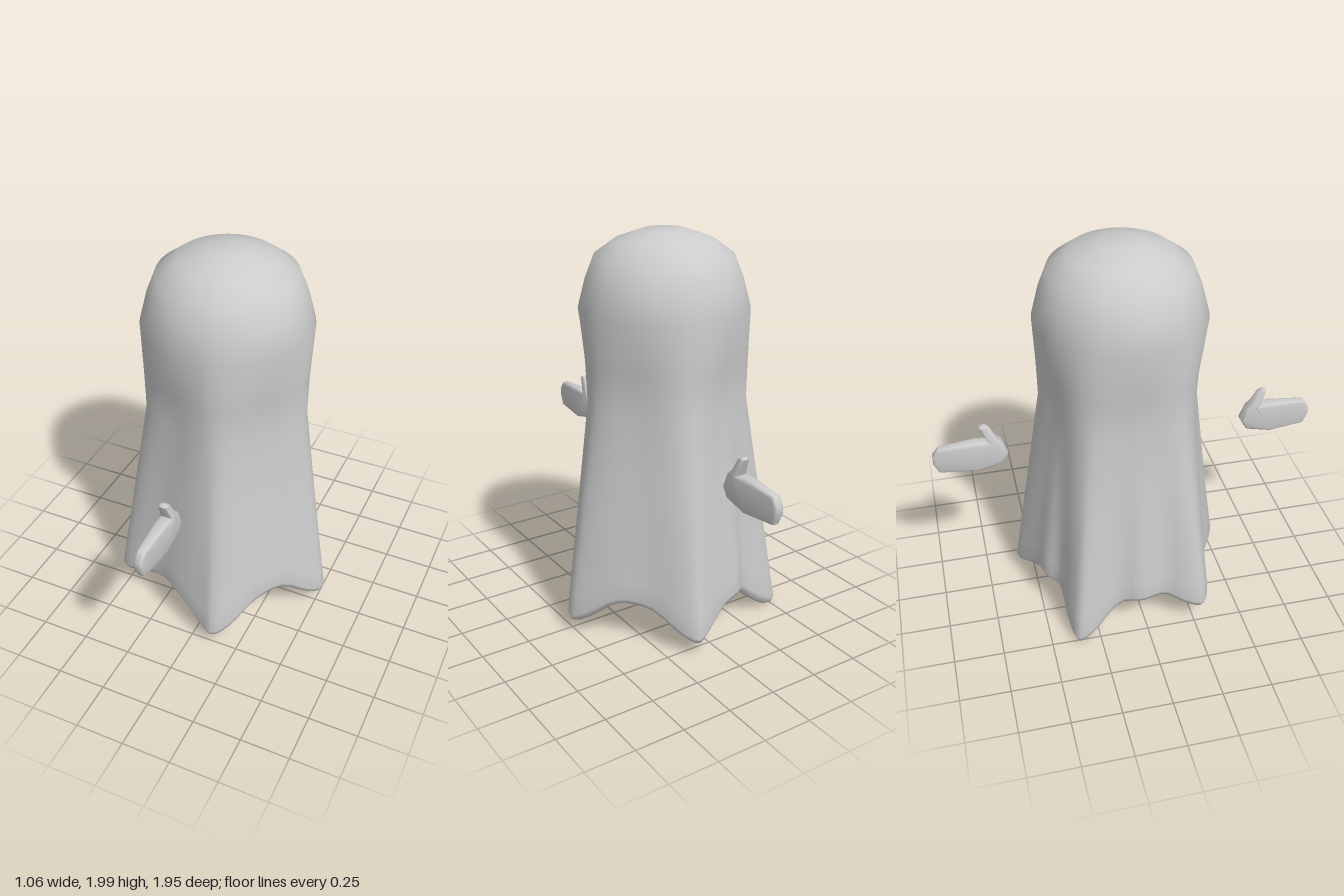
import * as THREE from 'three';
import { toCreasedNormals } from 'three/addons/utils/BufferGeometryUtils.js';

const CX = -0.035, CZ = -0.035; // axis of the draped body
const SIDES = 80;

// Hem outline as [x, z, y]: five hanging points with raised scallops between them
const HEM = [
  [0.53, -0.03, 0.07], [0.49, 0.05, 0.1], [0.38, 0.19, 0.22], [0.29, 0.32, 0.21],
  [0.2, 0.46, 0.11], [0.12, 0.52, 0.06], [0.05, 0.5, 0.08], [-0.13, 0.43, 0.19],
  [-0.27, 0.36, 0.2], [-0.45, 0.33, 0.14], [-0.52, 0.29, 0.12], [-0.51, 0.21, 0.14],
  [-0.47, 0.1, 0.19], [-0.51, -0.03, 0.21], [-0.47, -0.14, 0.18], [-0.52, -0.29, 0.06],
  [-0.52, -0.37, 0.01], [-0.43, -0.4, 0.05], [-0.27, -0.42, 0.17], [-0.2, -0.48, 0.2],
  [-0.09, -0.51, 0.18], [0.05, -0.57, 0.11], [0.12, -0.59, 0.08], [0.18, -0.53, 0.11],
  [0.27, -0.38, 0.21], [0.38, -0.25, 0.22], [0.49, -0.11, 0.11],
];

// Sheet lofted from the curled hem, through the folded waist, to the round head
function makeSheet() {
  const curve = new THREE.CatmullRomCurve3(
    HEM.map(([x, z, y]) => new THREE.Vector3(x, y, z)), true, 'centripetal');
  const hem = Array.from({ length: SIDES }, (_, j) => curve.getPoint(j / SIDES));
  const waistY = 1.18;
  const rings = [];
  const addRing = (fn) => rings.push(hem.map((p) => {
    const dx = p.x - CX, dz = p.z - CZ, r = Math.hypot(dx, dz);
    const a = Math.atan2(dz, dx);
    const waistR = 0.385 + 0.022 * Math.cos(5 * a);
    const [radius, y] = fn(r, p.y, waistR);
    return [CX + Math.cos(a) * radius, y, CZ + Math.sin(a) * radius];
  }));

  // hem lip, curled slightly inward
  addRing((r, y) => [r - 0.035, y]);
  addRing((r, y) => [r - 0.012, y + 0.008]);
  addRing((r, y) => [r, y + 0.035]);
  // skirt, from hem to waist
  for (const t of [0.1, 0.35, 0.65, 1]) {
    addRing((r, y, w) => [
      THREE.MathUtils.lerp(r, w, t), THREE.MathUtils.lerp(y + 0.035, waistY, t)]);
  }
  // shoulders, where the folds fade out
  addRing((r, y, w) => [THREE.MathUtils.lerp(w, 0.415, 0.3), 1.38]);
  // head
  for (const [radius, y] of [[0.415, 1.63], [0.38, 1.765], [0.335, 1.88],
    [0.24, 1.95], [0.11, 1.997], [0.001, 2]]) addRing(() => [radius, y]);

  const index = [];
  for (let i = 0; i < rings.length - 1; i++) {
    for (let j = 0; j < SIDES; j++) {
      const k = (j + 1) % SIDES;
      const a = i * SIDES + j, b = i * SIDES + k;
      index.push(a, a + SIDES, b, b, a + SIDES, b + SIDES);
    }
  }
  const geometry = new THREE.BufferGeometry();
  geometry.setAttribute('position', new THREE.Float32BufferAttribute(rings.flat(2), 3));
  geometry.setIndex(index);
  geometry.computeVertexNormals();
  return geometry;
}

// Mitten hand: side outline as [z, y], extruded and thinned toward the fingers
function makeHand() {
  const outline = [
    [0.605, 0.91], [0.635, 0.86], [0.76, 0.83], [0.95, 0.845], [0.975, 0.9],
    [0.975, 0.94], [0.945, 0.982], [0.76, 0.998], [0.7, 0.99], [0.735, 1.075],
    [0.715, 1.083], [0.69, 1.07], [0.66, 1.01], [0.635, 0.985],
  ].map(([z, y]) => new THREE.Vector2(z, y));
  const bevel = 0.013;
  const geometry = new THREE.ExtrudeGeometry(new THREE.Shape(outline), {
    depth: 0.04, bevelEnabled: true, bevelThickness: 0.015,
    bevelSize: bevel, bevelOffset: -bevel, bevelSegments: 2,
  });
  geometry.translate(0, 0, -0.02);
  geometry.rotateY(-Math.PI / 2);
  const p = geometry.attributes.position;
  for (let i = 0; i < p.count; i++) {
    const fingers = THREE.MathUtils.smoothstep(p.getZ(i), 0.7, 0.98);
    const thumb = THREE.MathUtils.smoothstep(p.getY(i), 0.97, 1.05);
    p.setX(i, p.getX(i) * (1 - 0.35 * fingers) * (1 - 0.4 * thumb));
  }
  return toCreasedNormals(geometry, 0.9);
}

export function createModel() {
  const group = new THREE.Group();
  const grey = new THREE.MeshStandardMaterial({ color: 0xcccccc });
  const cloth = new THREE.MeshStandardMaterial({ color: 0xcccccc, side: THREE.DoubleSide });

  const sheet = new THREE.Mesh(makeSheet(), cloth);
  sheet.name = 'drapedSheet';
  group.add(sheet);

  // floating hands, one in front and one behind
  const handGeometry = makeHand();
  for (const [name, turn] of [['frontHand', 0], ['backHand', Math.PI]]) {
    const hand = new THREE.Mesh(handGeometry, grey);
    hand.name = name;
    hand.position.x = -0.01;
    hand.rotation.y = turn;
    group.add(hand);
  }
  return group;
}
